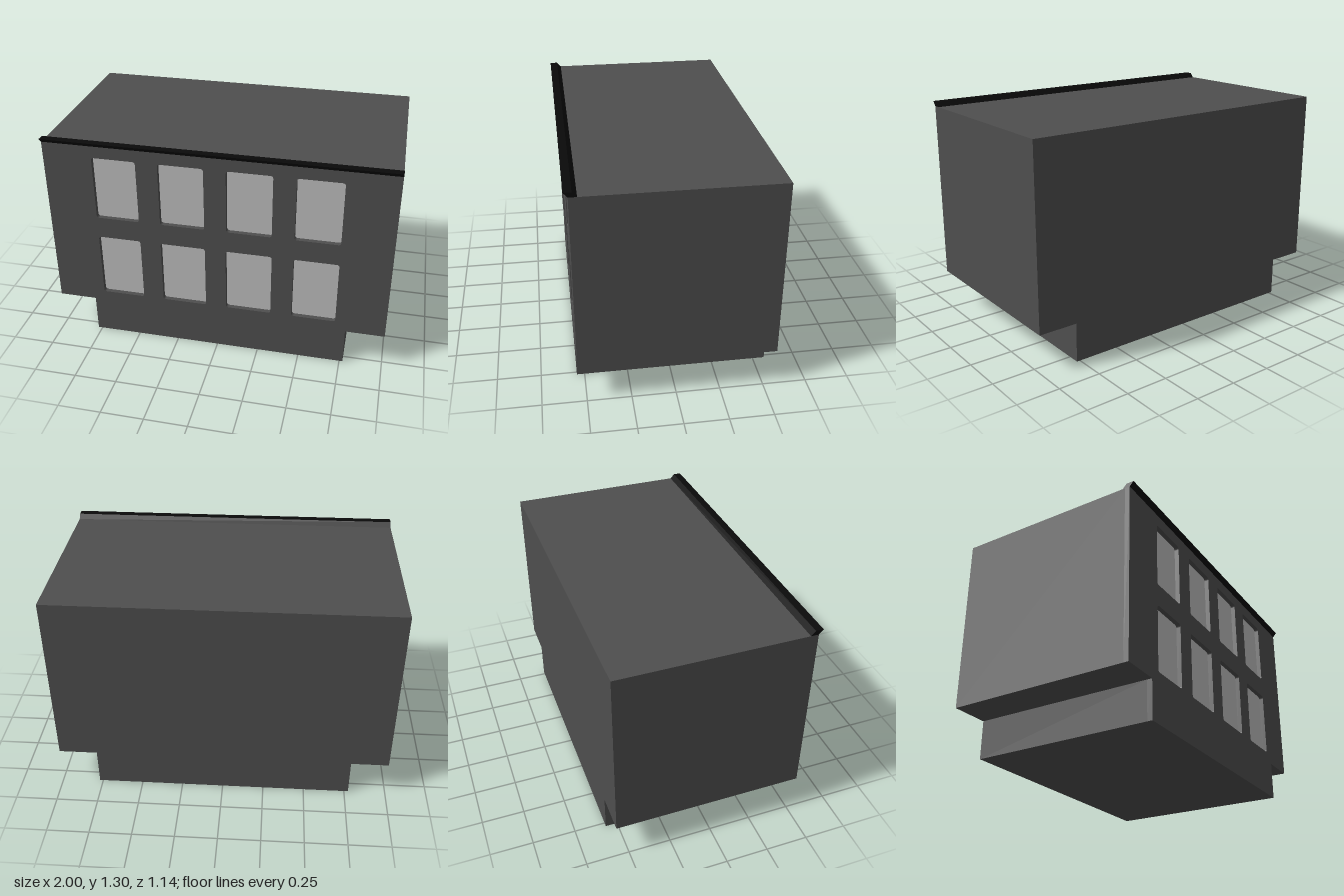
import * as THREE from 'three';

const FRONT = 0.545, BACK = -0.569, RECESS = 0.03;

const wallMat = new THREE.MeshStandardMaterial({ color: 0x4e4e4e });
wallMat.name = 'dark grey wall';
const glassMat = new THREE.MeshStandardMaterial({ color: 0xbdbdbd });
glassMat.name = 'light grey glass';
const trimMat = new THREE.MeshStandardMaterial({ color: 0x0a0a0a });
trimMat.name = 'black trim';

// Window openings: [left, right] for each row, with the row's [bottom, top]
const rows = [
  { y: [0.291, 0.687], x: [[-0.711, -0.455], [-0.332, -0.067], [0.056, 0.324], [0.449, 0.708]] },
  { y: [0.818, 1.205], x: [[-0.711, -0.455], [-0.328, -0.067], [0.06, 0.321], [0.449, 0.708]] },
];

// Front silhouette: wide upper storeys over a narrower base
function outline() {
  return new THREE.Shape([
    [-0.775, 0], [0.77, 0], [0.77, 0.228], [1, 0.228],
    [1, 1.276], [-1, 1.276], [-1, 0.228], [-0.775, 0.228],
  ].map(([x, y]) => new THREE.Vector2(x, y)));
}

function roundedRect([x0, x1], [y0, y1], r = 0.015) {
  const s = new THREE.Shape();
  s.absarc(x1 - r, y1 - r, r, 0, Math.PI / 2);
  s.absarc(x0 + r, y1 - r, r, Math.PI / 2, Math.PI);
  s.absarc(x0 + r, y0 + r, r, Math.PI, Math.PI * 1.5);
  s.absarc(x1 - r, y0 + r, r, Math.PI * 1.5, Math.PI * 2);
  return s;
}

function extrude(name, shape, depth, z, material) {
  const geometry = new THREE.ExtrudeGeometry(shape, { depth, bevelEnabled: false, curveSegments: 4 });
  const mesh = new THREE.Mesh(geometry, material);
  mesh.name = name;
  mesh.position.z = z;
  return mesh;
}

export function createModel() {
  const model = new THREE.Group();
  model.name = 'building';

  // Solid body behind the recessed windows
  model.add(extrude('body', outline(), FRONT - RECESS - BACK, BACK, wallMat));

  // Front wall pierced by the windows, with a pane set in each opening
  const facade = outline();
  const windows = new THREE.Group();
  windows.name = 'windows';
  for (const { x, y } of rows) {
    for (const span of x) {
      facade.holes.push(roundedRect(span, y));
      windows.add(extrude('windowPane', roundedRect(span, y), 0.003, FRONT - RECESS, glassMat));
    }
  }
  model.add(extrude('frontWall', facade, RECESS, FRONT - RECESS, wallMat), windows);

  // Slanted cornice along the front roof edge: profile in (z, y), swept along x
  const profile = new THREE.Shape([
    [-0.5, 1.276], [-0.525, 1.303], [-0.569, 1.303], [-0.545, 1.276],
  ].map(([x, y]) => new THREE.Vector2(x, y)));
  const cornice = extrude('cornice', profile, 2, 0, trimMat);
  cornice.rotation.y = Math.PI / 2;
  cornice.position.x = -1;
  model.add(cornice);

  return model;
}
